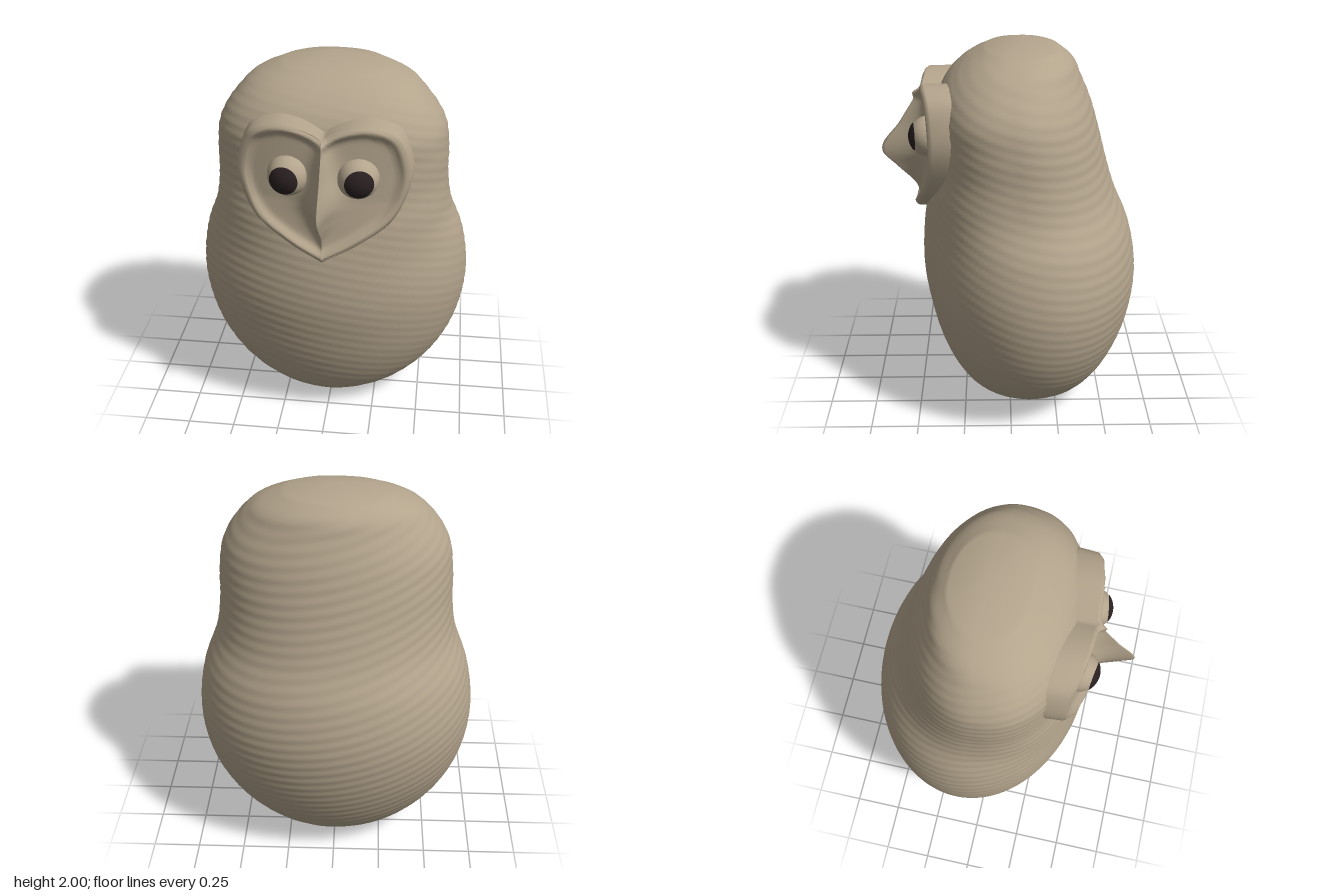
import * as THREE from 'three';
import { mergeVertices } from 'three/addons/utils/BufferGeometryUtils.js';

// Smooth surface through a grid of points; fn(row, column) returns [x, y, z]
function gridSurface(rows, cols, fn) {
  const pos = [], index = [];
  for (let i = 0; i <= rows; i++) {
    for (let j = 0; j <= cols; j++) {
      pos.push(...fn(i, j));
      if (i === rows || j === cols) continue;
      const a = i * (cols + 1) + j, c = a + cols + 1;
      index.push(a, c, a + 1, a + 1, c, c + 1);
    }
  }
  const geo = new THREE.BufferGeometry();
  geo.setAttribute('position', new THREE.Float32BufferAttribute(pos, 3));
  geo.setIndex(index);
  const merged = mergeVertices(geo, 1e-5);
  merged.computeVertexNormals();
  return merged;
}

function interpolate(table) {
  const stride = table[0].length - 1;
  const curve = new THREE.CubicInterpolant(
    table.map((r) => r[0]), table.flatMap((r) => r.slice(1)), stride, new Float32Array(stride));
  return (y) => curve.evaluate(y);
}

// Body rings: height, half width, front z, back z
const bodyAt = interpolate([
  [0.045, 0.28, 0.165, -0.35], [0.11, 0.415, 0.24, -0.445], [0.21, 0.535, 0.31, -0.525],
  [0.38, 0.65, 0.385, -0.61], [0.57, 0.715, 0.435, -0.665], [0.78, 0.735, 0.467, -0.682],
  [1.01, 0.70, 0.46, -0.64], [1.2, 0.63, 0.43, -0.56], [1.37, 0.605, 0.40, -0.507],
  [1.53, 0.60, 0.39, -0.465], [1.68, 0.575, 0.38, -0.42], [1.81, 0.49, 0.32, -0.365],
  [1.9, 0.39, 0.22, -0.32], [1.955, 0.26, 0.12, -0.25],
]);

// Height of the brow ridge and beak above the face
const ridgeAt = interpolate([
  [1.08, 0], [1.21, 0.04], [1.31, 0.15], [1.4, 0.24], [1.56, 0.14], [1.7, 0.05], [1.74, 0.02],
]);

function bodyGeometry() {
  const rows = 150, cols = 128;
  return gridSurface(rows, cols, (i, j) => {
    if (i === 0) return [0, 0, -0.07];
    if (i === rows) return [0, 2, -0.07];
    const y = 0.045 + 1.91 * (i - 1) / (rows - 2);
    const [w, front, back] = bodyAt(y);
    const a = (j % cols) / cols * Math.PI * 2;
    const s = Math.sin(a), c = Math.cos(a);
    // the front of the head is a little squarer than the rest
    const head = c > 0 ? THREE.MathUtils.smoothstep(y, 1.0, 1.3) : 0;
    const p = 2 / (2 + 0.4 * head);
    let x = -Math.sign(s) * Math.abs(s) ** p * w;
    let z = (front + back) / 2 + Math.sign(c) * Math.abs(c) ** p * (front - back) / 2;
    // faint slanting ripples
    const ripple = 0.0015 * Math.sin((y + 0.2 * x - 0.25 * z) * 2 * Math.PI / 0.055);
    x -= s * ripple;
    z += c * ripple;
    return [x, y, z];
  });
}

function faceGeometry() {
  const rows = 64, half = 28, cols = 2 * half + 2;
  const outline = new THREE.CatmullRomCurve3([
    [0, 1.74], [0.07, 1.775], [0.15, 1.797], [0.24, 1.797], [0.36, 1.745], [0.415, 1.63],
    [0.425, 1.5], [0.345, 1.31], [0.175, 1.18], [0, 1.085],
  ].map(([x, y]) => new THREE.Vector3(x, y, 0))).getSpacedPoints(rows);
  const p = new THREE.Vector3();
  return gridSurface(rows, cols, (i, j) => {
    const skirt = j === 0 || j === cols;
    const k = THREE.MathUtils.clamp(j - 1 - half, -half, half) / half;
    const t = Math.abs(k) ** 1.5;
    const edge = outline[i];
    const x = Math.sign(k) * t * edge.x;
    const y = THREE.MathUtils.lerp(1.74 - 0.655 * i / rows, edge.y, t);
    p.set(Math.abs(x), y, 0);
    const d = Math.min(...outline.map((q) => q.distanceTo(p)));
    const rim = 0.03 * Math.exp(-(((d - 0.025) / 0.024) ** 2));
    const r = Math.max(0, ridgeAt(y)[0]);
    const ridge = r * Math.exp(-Math.abs(x) / (0.02 + 0.1 * r));
    const base = 0.435 - 0.35 * x * x + 0.13 * Math.max(0, 1.4 - y);
    if (skirt) return [x * 1.03, y, base - 0.14];
    return [x, y, base + rim + ridge];
  });
}

export function createModel() {
  const model = new THREE.Group();
  model.name = 'owlFigure';
  const clay = new THREE.MeshStandardMaterial({ color: 0xb3a48c });
  clay.name = 'beige clay';
  const dark = new THREE.MeshStandardMaterial({ color: 0x2a2021 });
  dark.name = 'dark pupil';
  const add = (parent, name, geo, mat) => {
    const mesh = new THREE.Mesh(geo, mat);
    mesh.name = name;
    parent.add(mesh);
    return mesh;
  };

  add(model, 'body', bodyGeometry(), clay);
  add(model, 'heartFace', faceGeometry(), clay);

  // Eyes: rounded lid with a dark cap, turned slightly outward
  const lid = new THREE.SphereGeometry(0.105, 40, 24).rotateX(Math.PI / 2);
  const pupil = new THREE.SphereGeometry(0.108, 32, 10, 0, Math.PI * 2, 0, 0.73).rotateX(Math.PI / 2);
  for (const side of [1, -1]) {
    const eye = new THREE.Group();
    eye.name = side > 0 ? 'leftEye' : 'rightEye';
    eye.position.set(side * 0.17, 1.53, 0.412);
    eye.rotation.y = side * 0.16;
    add(eye, 'eyelid', lid, clay);
    add(eye, 'pupil', pupil, dark);
    model.add(eye);
  }
  return model;
}
